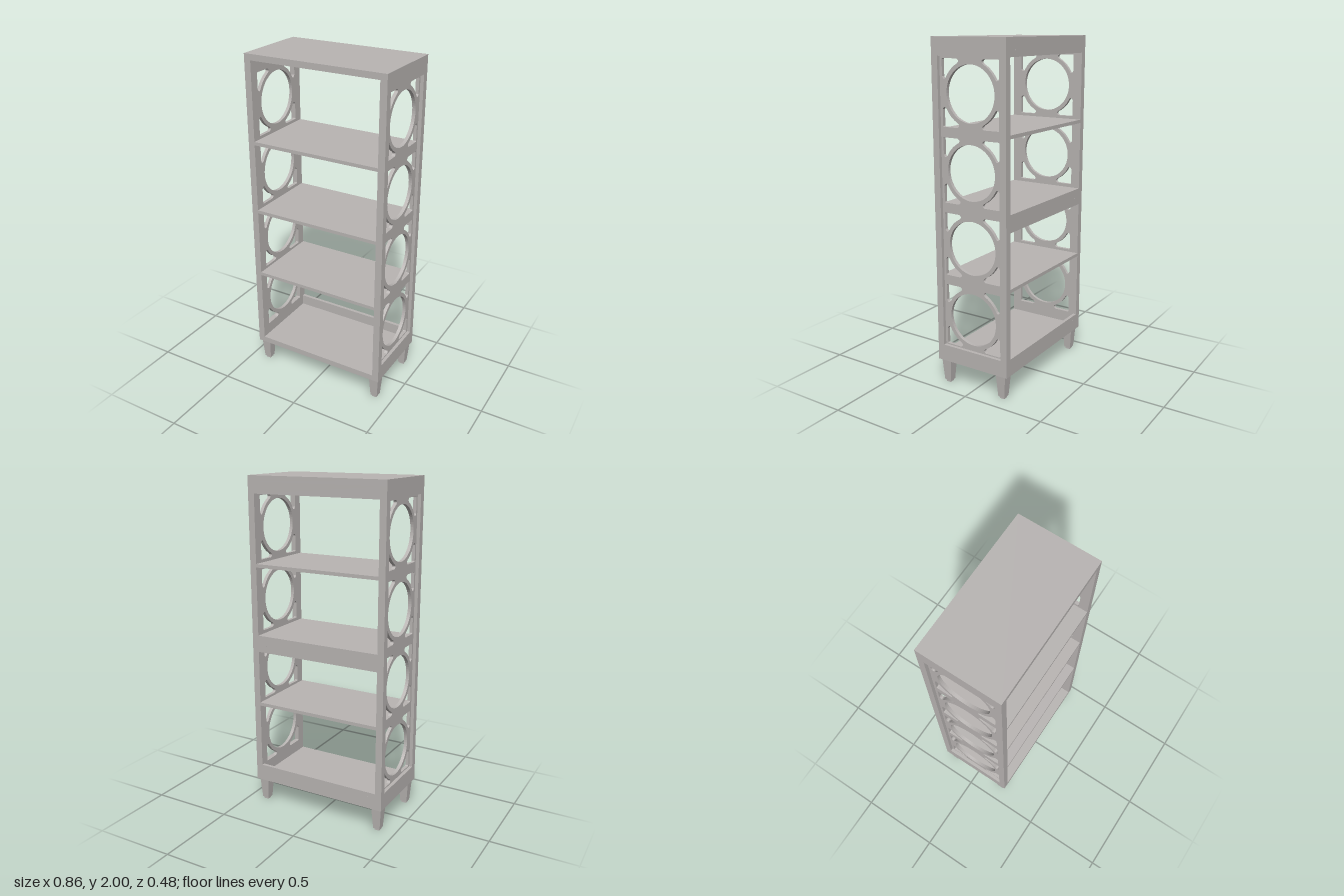
import * as THREE from 'three';

const W = 0.43, D = 0.238;            // half width and half depth
const POST = 0.04;                    // post section
const BASE = 0.182, TOP = 1.965;      // inner faces of the two slabs
const CIRCLES = [0.435, 0.858, 1.282, 1.705];

export function createModel() {
  const grey = new THREE.MeshStandardMaterial({ color: 0xb8b4b2 });
  grey.name = 'warm grey';
  const model = new THREE.Group();
  model.name = 'bookcase';

  function add(name, geometry, x = 0, y = 0, z = 0, parent = model) {
    const mesh = new THREE.Mesh(geometry, grey);
    mesh.name = name;
    mesh.position.set(x, y, z);
    parent.add(mesh);
    return mesh;
  }
  // Box given by its minimum and maximum corners
  function box(name, x0, x1, y0, y1, z0, z1) {
    return add(name, new THREE.BoxGeometry(x1 - x0, y1 - y0, z1 - z0),
      (x0 + x1) / 2, (y0 + y1) / 2, (z0 + z1) / 2);
  }
  // Square tapered block standing on y = 0
  function taper(topHalf, bottomHalf, height) {
    const g = new THREE.CylinderGeometry(topHalf * Math.SQRT2, bottomHalf * Math.SQRT2, height, 4, 1).toNonIndexed();
    g.rotateY(Math.PI / 4);
    g.translate(0, height / 2, 0);
    g.computeVertexNormals();
    return g;
  }

  // Top and bottom slabs
  box('topSlab', -W, W, TOP, 2, -D, D);
  box('bottomSlab', -W, W, 0.147, BASE, -D, D);

  // Shelves, flush with the posts front and back
  for (const y of [0.64, 1.06, 1.485]) box('shelf', -W + POST, W - POST, y, y + 0.02, -D, D);

  // Back rails with screw plugs near their ends
  const plug = new THREE.CylinderGeometry(0.005, 0.005, 0.002, 12).rotateX(Math.PI / 2);
  for (const [y0, y1] of [[BASE, 0.247], [0.98, 1.06], [1.9, TOP]]) {
    box('backRail', -W + POST, W - POST, y0, y1, -D, -D + 0.02);
    for (const s of [-1, 1]) add('screwPlug', plug, s * 0.34, (y0 + y1) / 2, -D);
  }

  // Corner cutout between a ring and its frame, in one quadrant
  const corner = new THREE.Shape();
  const a = Math.PI * 29 / 180, R = 0.178;
  corner.moveTo(0.183, 0.176);
  corner.lineTo(0.183, 0.088);
  corner.quadraticCurveTo(0.171, 0.062, R * Math.cos(a), R * Math.sin(a));
  corner.absarc(0, 0, R, a, Math.PI / 2 - a, false);
  corner.quadraticCurveTo(0.062, 0.171, 0.088, 0.183);
  corner.lineTo(0.176, 0.183);
  corner.quadraticCurveTo(0.183, 0.183, 0.183, 0.176);
  const cornerPoints = corner.getPoints(8);

  // Pierced side panel
  const pz = D - POST;
  const panel = new THREE.Shape([
    new THREE.Vector2(-pz, BASE), new THREE.Vector2(pz, BASE),
    new THREE.Vector2(pz, TOP), new THREE.Vector2(-pz, TOP),
  ]);
  for (const cy of CIRCLES) {
    panel.holes.push(new THREE.Path().absarc(0, cy, 0.155, 0, Math.PI * 2, true));
    for (const sx of [-1, 1]) for (const sy of [-1, 1]) {
      panel.holes.push(new THREE.Path(cornerPoints.map(p => new THREE.Vector2(sx * p.x, cy + sy * p.y))));
    }
  }
  const panelGeometry = new THREE.ExtrudeGeometry(panel, { depth: 0.02, bevelEnabled: false, curveSegments: 32 });
  panelGeometry.translate(0, 0, -0.01);
  panelGeometry.rotateY(Math.PI / 2);

  const legGeometry = taper(0.031, 0.021, 0.135);
  const padGeometry = taper(0.015, 0.015, 0.013);

  for (const sx of [-1, 1]) {
    const side = sx > 0 ? 'left' : 'right';
    add(side + 'SidePanel', panelGeometry, sx * 0.4);

    // Side rails in front of the panel
    for (const [y0, y1] of [[BASE, 0.245], [1.9, TOP]]) {
      add(side + 'SideRail', new THREE.BoxGeometry(0.02, y1 - y0, 2 * pz), sx * 0.42, (y0 + y1) / 2);
    }

    // Posts and tapered legs at each corner
    for (const sz of [-1, 1]) {
      add(side + 'Post', new THREE.BoxGeometry(POST, TOP - BASE, POST),
        sx * (W - POST / 2), (TOP + BASE) / 2, sz * (D - POST / 2));
      const leg = new THREE.Group();
      leg.name = side + 'Leg';
      leg.position.set(sx * 0.39, 0, sz * 0.19);
      add('taperedLeg', legGeometry, 0, 0.012, 0, leg);
      add('footPad', padGeometry, 0, 0, 0, leg);
      model.add(leg);
    }
  }
  return model;
}
